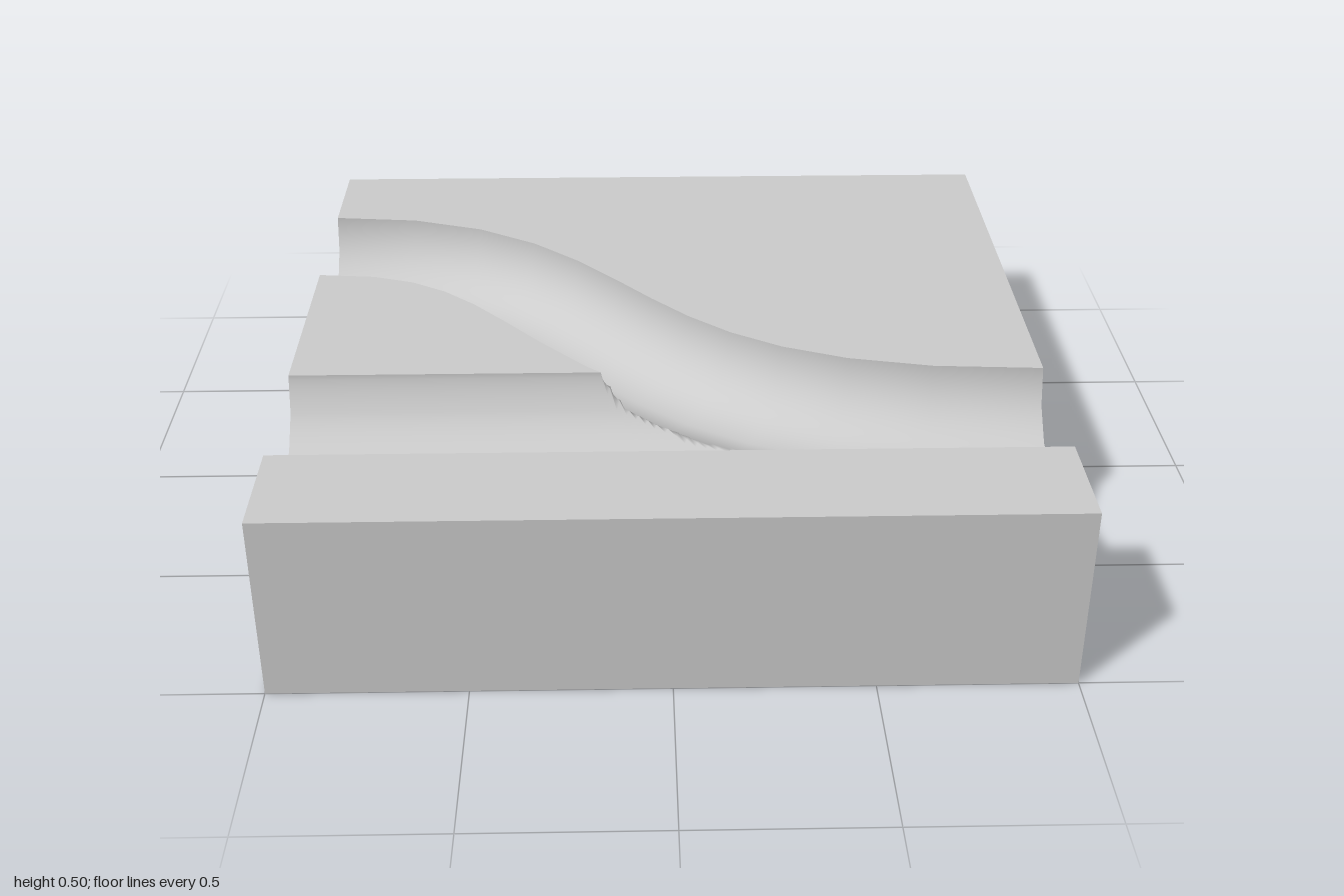
import * as THREE from 'three';
import { mergeGeometries } from 'three/addons/utils/BufferGeometryUtils.js';

const TOP = 0.5, R = 0.2, SIDES = 6, STEPS = 12, FINE = 8;
const LANE_Z = 0.5; // centre of the straight groove

// Groove cross-section: offset from the centre line and height, v = 0..SIDES, linear between corners
function section(v) {
  const j = Math.min(Math.floor(v), SIDES - 1), f = v - j;
  const a = Math.PI * j / SIDES, b = Math.PI * (j + 1) / SIDES;
  return {
    s: R * THREE.MathUtils.lerp(Math.cos(a), Math.cos(b), f),
    y: TOP - R * THREE.MathUtils.lerp(Math.sin(a), Math.sin(b), f),
    angle: Math.PI * v / SIDES,
  };
}

// Height of the straight groove at z
function laneHeight(z) {
  const d = z - LANE_Z;
  if (Math.abs(d) >= R) return TOP;
  for (let j = 0; j < SIDES; j++) {
    const a = section(j), b = section(j + 1);
    if (d <= a.s && d >= b.s) return THREE.MathUtils.lerp(a.y, b.y, (a.s - d) / (a.s - b.s));
  }
  return TOP;
}

function laneNormal(z) {
  const c = THREE.MathUtils.clamp((z - LANE_Z) / R, -1, 1);
  return new THREE.Vector3(0, Math.sqrt(1 - c * c), -c);
}

// Smooth surface from rows of { p, n }
function gridGeometry(rows) {
  const pos = [], nor = [], index = [], w = rows[0].length;
  rows.flat().forEach(({ p, n }) => { pos.push(p.x, p.y, p.z); nor.push(n.x, n.y, n.z); });
  for (let i = 0; i < rows.length - 1; i++) {
    for (let j = 0; j < w - 1; j++) {
      const a = i * w + j, b = a + w;
      index.push(a, b, a + 1, b, b + 1, a + 1);
    }
  }
  const g = new THREE.BufferGeometry();
  g.setAttribute('position', new THREE.Float32BufferAttribute(pos, 3));
  g.setAttribute('normal', new THREE.Float32BufferAttribute(nor, 3));
  g.setIndex(index);
  return g;
}

// Flat panel: an outline of 3D points facing the given axis direction
function panel(points, normal) {
  const flat = points.map(p => normal.x ? new THREE.Vector2(p.z, p.y)
    : normal.y ? new THREE.Vector2(p.x, p.z) : new THREE.Vector2(p.x, p.y));
  const pos = [], nor = [];
  for (const tri of THREE.ShapeUtils.triangulateShape(flat, [])) {
    let [a, b, c] = tri.map(i => points[i]);
    if (b.clone().sub(a).cross(c.clone().sub(a)).dot(normal) < 0) [b, c] = [c, b];
    for (const p of [a, b, c]) { pos.push(...p.toArray()); nor.push(...normal.toArray()); }
  }
  const g = new THREE.BufferGeometry();
  g.setAttribute('position', new THREE.Float32BufferAttribute(pos, 3));
  g.setAttribute('normal', new THREE.Float32BufferAttribute(nor, 3));
  return g;
}

export function createModel() {
  const group = new THREE.Group();
  const material = new THREE.MeshStandardMaterial({ color: 0xcccccc });
  const V = (x, y, z) => new THREE.Vector3(x, y, z);
  const add = (name, geometry) => {
    const mesh = new THREE.Mesh(geometry, material);
    mesh.name = name;
    group.add(mesh);
  };

  // S-curve centre line with its sideways direction at each step
  const curve = new THREE.CubicBezierCurve3(V(-1, 0, -0.5), V(-0.1, 0, -0.5), V(-0.4, 0, 0.5), V(1, 0, 0.5));
  const stations = [];
  for (let i = 0; i <= STEPS; i++) {
    const t = curve.getTangent(i / STEPS);
    if (i === 0 || i === STEPS) t.set(1, 0, 0);
    stations.push({ c: curve.getPoint(i / STEPS), side: V(-t.z, 0, t.x) });
  }

  // Curved groove, dropping to the straight groove's floor where they merge
  const rows = [], nearRim = [], farRim = [];
  for (let i = 0; i <= STEPS * FINE; i++) {
    const k = Math.min(Math.floor(i / FINE), STEPS - 1), f = i / FINE - k;
    const c = stations[k].c.clone().lerp(stations[k + 1].c, f);
    const side = stations[k].side.clone().lerp(stations[k + 1].side, f);
    const row = [];
    for (let j = 0; j <= SIDES * FINE; j++) {
      const { s, y, angle } = section(j / FINE);
      const p = c.clone().addScaledVector(side, s).setY(y);
      let n = side.clone().multiplyScalar(-Math.cos(angle)).setY(Math.sin(angle)).normalize();
      const floor = laneHeight(p.z);
      if (floor < y - 1e-5) { p.y = floor; n = laneNormal(p.z); }
      row.push({ p, n });
    }
    rows.push(row);
    nearRim.push(row[0].p);
    farRim.push(row[SIDES * FINE].p);
  }
  add('curvedGroove', gridGeometry(rows));

  // Point where the curved groove's near rim meets the straight groove
  const edge = LANE_Z - R;
  const m = nearRim.findIndex(p => p.z > edge);
  const meet = nearRim[m - 1].clone().lerp(nearRim[m],
    (edge - nearRim[m - 1].z) / (nearRim[m].z - nearRim[m - 1].z)).setY(TOP);

  // Rest of the straight groove, up to that rim
  const limits = [V(-1, TOP, edge), meet, ...nearRim.slice(m)];
  add('straightGroove', gridGeometry(limits.map(rim => {
    const row = [];
    for (let j = 0; j <= SIDES * FINE; j++) {
      const z = Math.max(LANE_Z + section(j / FINE).s, rim.z);
      row.push({ p: V(rim.x, laneHeight(z), z), n: laneNormal(z) });
    }
    return row;
  })));

  // Top surfaces around the grooves
  const up = V(0, 1, 0);
  add('topSurface', mergeGeometries([
    panel([V(-1, TOP, -1), V(1, TOP, -1), ...farRim.slice().reverse()], up),
    panel([...nearRim.slice(0, m), meet, V(-1, TOP, edge)], up),
    panel([V(-1, TOP, LANE_Z + R), V(1, TOP, LANE_Z + R), V(1, TOP, 1), V(-1, TOP, 1)], up),
  ]));

  // Sides and bottom; the ends are notched by the grooves
  const end = (x, centres) => {
    const outline = [V(x, 0, -1), V(x, 0, 1), V(x, TOP, 1)];
    for (const z of centres) {
      for (let j = 0; j <= SIDES; j++) outline.push(V(x, section(j).y, z + section(j).s));
    }
    outline.push(V(x, TOP, -1));
    return panel(outline, V(x, 0, 0));
  };
  const wall = z => panel([V(-1, 0, z), V(1, 0, z), V(1, TOP, z), V(-1, TOP, z)], V(0, 0, z));
  add('blockSides', mergeGeometries([
    end(1, [LANE_Z]), end(-1, [LANE_Z, -0.5]), wall(1), wall(-1),
    panel([V(-1, 0, -1), V(1, 0, -1), V(1, 0, 1), V(-1, 0, 1)], V(0, -1, 0)),
  ]));
  return group;
}
